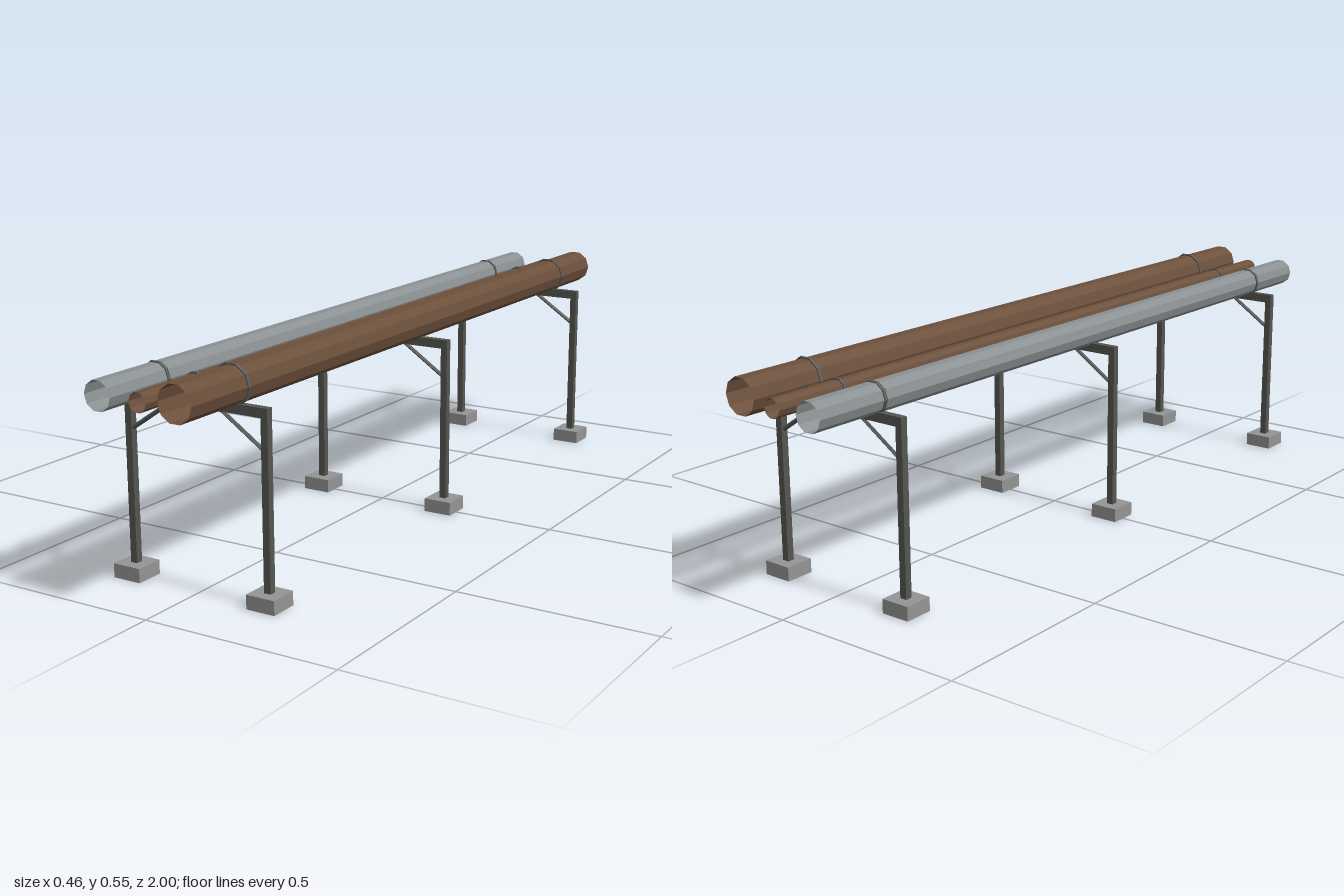
import * as THREE from 'three';

const mat = (name, color, extra = {}) => {
  const m = new THREE.MeshStandardMaterial({ color, flatShading: true, ...extra });
  m.name = name;
  return m;
};

export function createModel() {
  const steel = mat('dark steel', 0x555650);
  const concrete = mat('concrete', 0x949494);
  const rust = mat('rusty brown', 0x6b4f3b, { side: THREE.DoubleSide });
  const zinc = mat('grey metal', 0x8a9092, { side: THREE.DoubleSide });

  const model = new THREE.Group();
  model.name = 'pipeRack';

  const add = (parent, name, geometry, material, x, y, z) => {
    const mesh = new THREE.Mesh(geometry, material);
    mesh.name = name;
    mesh.position.set(x, y, z);
    parent.add(mesh);
    return mesh;
  };

  // Support frames: two footed posts, a cross beam and two diagonal braces
  const braceLength = Math.hypot(0.13, 0.087);
  for (const z of [-0.8, 0, 0.8]) {
    const frame = new THREE.Group();
    frame.name = 'supportFrame';
    frame.position.z = z;
    model.add(frame);
    add(frame, 'crossBeam', new THREE.BoxGeometry(0.4, 0.023, 0.018), steel, 0, 0.451, 0);
    for (const s of [-1, 1]) {
      add(frame, 'post', new THREE.BoxGeometry(0.018, 0.44, 0.018), steel, s * 0.191, 0.22, 0);
      add(frame, 'footing', new THREE.BoxGeometry(0.076, 0.035, 0.074), concrete, s * 0.191, 0.018, 0);
      const brace = add(frame, 'brace', new THREE.CylinderGeometry(0.0055, 0.0055, braceLength, 4),
        steel, s * 0.125, 0.4035, 0);
      brace.rotation.z = s * Math.atan2(0.13, 0.087);
    }
  }

  // Open ten-sided pipes, each held by a clamp ring on both end frames
  const pipes = [
    { name: 'greyPipe', x: -0.111, y: 0.492, r: 0.0365, ring: 0.0403, m: zinc },
    { name: 'smallBrownPipe', x: 0, y: 0.492, r: 0.0235, ring: 0.0285, m: rust },
    { name: 'largeBrownPipe', x: 0.1, y: 0.502, r: 0.0455, ring: 0.052, m: rust },
  ];
  const tube = 0.003;
  for (const p of pipes) {
    const geometry = new THREE.CylinderGeometry(p.r, p.r, 2, 10, 1, true)
      .rotateY(Math.PI / 2).rotateX(Math.PI / 2);
    add(model, p.name, geometry, p.m, p.x, p.y, 0);
    for (const z of [-0.8, 0.8]) {
      const ring = add(model, 'clampRing', new THREE.TorusGeometry(p.ring - tube, tube, 6, 10),
        steel, p.x, p.y, z);
      ring.scale.z = 1.7;
    }
  }
  return model;
}
